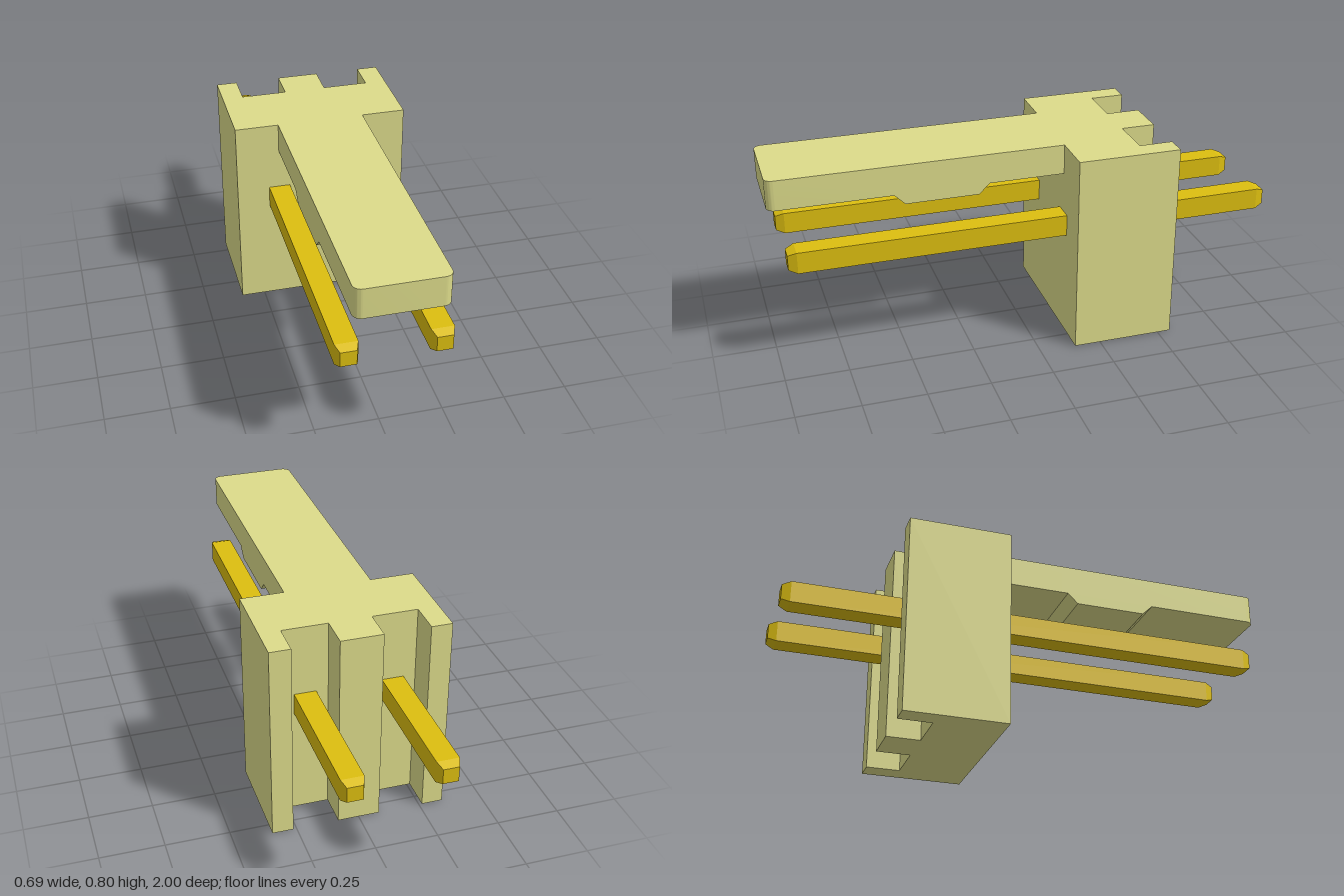
import * as THREE from 'three';
import { toCreasedNormals } from 'three/addons/utils/BufferGeometryUtils.js';

const TOP = 0.803;        // overall height
const ARM_BOTTOM = 0.683; // underside of the latch arm
const ARM_HALF = 0.173;   // half width of the latch arm
const BODY_FRONT = -0.145;

const plastic = new THREE.MeshStandardMaterial({ color: 0xdcdb8a });
const gold = new THREE.MeshStandardMaterial({ color: 0xdcbe10 });

function addMesh(group, name, geometry, material) {
  const mesh = new THREE.Mesh(geometry, material);
  mesh.name = name;
  group.add(mesh);
}

// Extrudes a plan drawn in (x, z) downwards from the top face.
function extrudePlan(shape, depth) {
  const g = new THREE.ExtrudeGeometry(shape, { depth, bevelEnabled: false, curveSegments: 8 });
  g.rotateX(Math.PI / 2).translate(0, TOP, 0);
  return toCreasedNormals(g, 0.5);
}

// Square pin along z, with both ends tapered.
function pinGeometry() {
  const front = 0.945, back = -1, taper = 0.034, width = 0.086, tip = 0.7;
  const g = new THREE.BoxGeometry(width, width, front - back, 1, 1, 3);
  g.translate(0, 0, (front + back) / 2);
  const p = g.attributes.position;
  for (let i = 0; i < p.count; i++) {
    const z = p.getZ(i);
    if (z > front - 0.01 || z < back + 0.01) {
      p.setXY(i, p.getX(i) * tip, p.getY(i) * tip);
    } else {
      p.setZ(i, z > 0 ? front - taper : back + taper);
    }
  }
  const flat = g.toNonIndexed();
  flat.computeVertexNormals();
  return flat;
}

export function createModel() {
  const group = new THREE.Group();
  group.name = 'pinHeader';

  // Housing with two vertical slots in the back
  const back = -0.553, slot = -0.418, half = 0.346;
  const halfPlan = [[half, BODY_FRONT], [half, back], [0.263, back], [0.263, slot], [0.083, slot], [0.083, back]];
  const mirrored = halfPlan.map(([x, z]) => [-x, z]).reverse();
  const plan = [...halfPlan, ...mirrored].map(([x, z]) => new THREE.Vector2(x, z));
  addMesh(group, 'housing', extrudePlan(new THREE.Shape(plan), TOP), plastic);

  // Latch arm with rounded front corners
  const r = 0.032;
  const arm = new THREE.Shape();
  arm.moveTo(-ARM_HALF, BODY_FRONT);
  arm.lineTo(ARM_HALF, BODY_FRONT);
  arm.lineTo(ARM_HALF, 1 - r);
  arm.absarc(ARM_HALF - r, 1 - r, r, 0, Math.PI / 2);
  arm.lineTo(-ARM_HALF + r, 1);
  arm.absarc(-ARM_HALF + r, 1 - r, r, Math.PI / 2, Math.PI);
  arm.closePath();
  addMesh(group, 'latchArm', extrudePlan(arm, TOP - ARM_BOTTOM), plastic);

  // Sloped catch under the arm, profile in (z, y)
  const profile = [[0.155, ARM_BOTTOM], [0.197, 0.642], [0.485, 0.642], [0.527, ARM_BOTTOM]];
  const catchShape = new THREE.Shape(profile.map(([z, y]) => new THREE.Vector2(z, y)));
  const catchGeometry = new THREE.ExtrudeGeometry(catchShape, { depth: ARM_HALF * 2, bevelEnabled: false });
  catchGeometry.rotateY(-Math.PI / 2).translate(ARM_HALF, 0, 0);
  addMesh(group, 'latchCatch', catchGeometry, plastic);

  // Contact pins running through the housing
  for (const side of [-1, 1]) {
    const g = pinGeometry().translate(side * 0.173, 0.478, 0);
    addMesh(group, side > 0 ? 'leftPin' : 'rightPin', g, gold);
  }
  return group;
}
